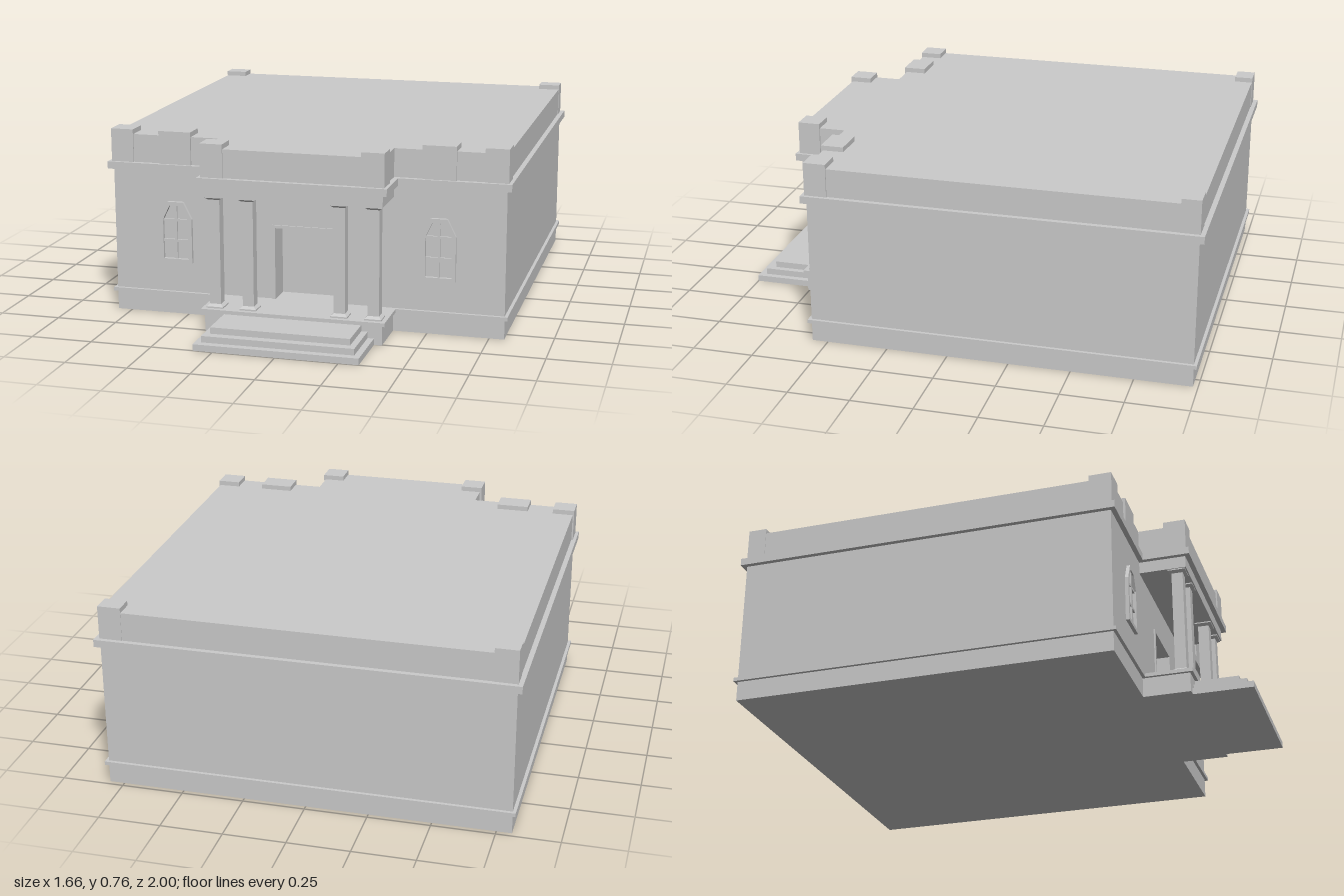
import * as THREE from 'three';

const material = new THREE.MeshStandardMaterial({ color: 0xcccccc, flatShading: true });

function add(parent, name, geometry) {
  const mesh = new THREE.Mesh(geometry, material);
  mesh.name = name;
  parent.add(mesh);
  return mesh;
}

// Box given by its extents
function box(parent, name, x0, x1, y0, y1, z0, z1) {
  const g = new THREE.BoxGeometry(x1 - x0, y1 - y0, z1 - z0);
  g.translate((x0 + x1) / 2, (y0 + y1) / 2, (z0 + z1) / 2);
  return add(parent, name, g);
}

// Horizontal slab from a plan of [x, z] points
function slab(parent, name, plan, y0, y1) {
  const shape = new THREE.Shape(plan.map(([x, z]) => new THREE.Vector2(x, -z)));
  const g = new THREE.ExtrudeGeometry(shape, { depth: y1 - y0, bevelEnabled: false });
  g.rotateX(-Math.PI / 2).translate(0, y0, 0);
  return add(parent, name, g);
}

const W = 0.81, BACK = -0.98, FRONT = 0.565, PW = 0.362, PF = 0.757;

// Hall with projecting porch, grown outward by o
const tPlan = (o) => [
  [-W - o, BACK - o], [W + o, BACK - o], [W + o, FRONT + o], [PW + o, FRONT + o],
  [PW + o, PF + o], [-PW - o, PF + o], [-PW - o, FRONT + o], [-W - o, FRONT + o],
];

// Square tapering block, widths at bottom and top
function taper(parent, name, bottom, top, y0, y1) {
  const g = new THREE.CylinderGeometry(top / Math.SQRT2, bottom / Math.SQRT2, y1 - y0, 4);
  g.rotateY(Math.PI / 4).translate(0, (y0 + y1) / 2, 0);
  return add(parent, name, g);
}

function makeColumn() {
  const column = new THREE.Group();
  column.name = 'column';
  box(column, 'columnPlinth', -0.034, 0.034, 0.095, 0.101, -0.034, 0.034);
  taper(column, 'columnBase', 0.066, 0.046, 0.101, 0.111);
  box(column, 'columnShaft', -0.023, 0.023, 0.111, 0.537, -0.023, 0.023);
  taper(column, 'columnCapital', 0.046, 0.068, 0.537, 0.546);
  box(column, 'columnAbacus', -0.035, 0.035, 0.546, 0.551, -0.035, 0.035);
  return column;
}

// Window outline with clipped top corners, inset by t
const windowPoints = (t) => [
  [-0.069 + t, 0.22 + t], [0.069 - t, 0.22 + t], [0.069 - t, 0.405 - t * 0.3],
  [0.034 - t * 0.6, 0.475 - t], [-0.034 + t * 0.6, 0.475 - t], [-0.069 + t, 0.405 - t * 0.3],
].map(([x, y]) => new THREE.Vector2(x, y));

function makeWindow() {
  const win = new THREE.Group();
  win.name = 'window';
  const frame = new THREE.Shape(windowPoints(0));
  frame.holes.push(new THREE.Path(windowPoints(0.016)));
  add(win, 'windowFrame', new THREE.ExtrudeGeometry(frame, { depth: 0.016, bevelEnabled: false }));
  box(win, 'windowMullion', -0.005, 0.005, 0.23, 0.465, 0, 0.011);
  for (const y of [0.312, 0.398]) box(win, 'windowBar', -0.06, 0.06, y - 0.005, y + 0.005, 0, 0.01);
  return win;
}

export function createModel() {
  const model = new THREE.Group();
  model.name = 'building';

  // Foundation and base moulding
  slab(model, 'foundation', tPlan(0), 0, 0.08);
  slab(model, 'baseMoulding', tPlan(0.013), 0.08, 0.095);

  // Walls, notched for the doorway up to the lintel
  const D = 0.125, H = 0.392, depth = 0.1;
  slab(model, 'lowerWalls', [
    [-W, BACK], [W, BACK], [W, FRONT], [D, FRONT], [D, FRONT - depth],
    [-D, FRONT - depth], [-D, FRONT], [-W, FRONT],
  ], 0.095, H);
  slab(model, 'upperWalls', [[-W, BACK], [W, BACK], [W, FRONT], [-W, FRONT]], H, 0.6);

  // Thin door surround
  for (const s of [-1, 1]) {
    box(model, 'doorJamb', Math.min(s * D, s * 0.137), Math.max(s * D, s * 0.137), 0.095, H, FRONT - 0.01, FRONT + 0.006);
  }
  box(model, 'doorLintel', -0.137, 0.137, H, 0.404, FRONT - 0.01, FRONT + 0.006);

  // Porch beam, cornice and parapet
  box(model, 'porchBeam', -PW, PW, 0.551, 0.6, FRONT, PF);
  slab(model, 'cornice', tPlan(0.02), 0.6, 0.63);
  slab(model, 'parapet', tPlan(0), 0.63, 0.745);

  // Parts mirrored left and right
  for (const s of [-1, 1]) {
    const pier = (name, a, b, z0, z1) =>
      box(model, name, Math.min(s * a, s * b), Math.max(s * a, s * b), 0.63, 0.765, z0, z1);
    pier('frontCornerPier', 0.722, 0.816, 0.48, 0.571);
    pier('windowPier', 0.476, 0.611, 0.48, 0.574);
    pier('porchPier', 0.278, 0.37, 0.672, 0.763);
    pier('backCornerPier', 0.72, 0.812, -0.982, -0.905);

    for (const x of [0.323, 0.186]) {
      const column = makeColumn();
      column.position.set(s * x, 0, 0.717);
      model.add(column);
    }
    const win = makeWindow();
    win.position.set(s * 0.545, 0, FRONT - 0.002);
    model.add(win);
  }

  // Entrance steps
  [[0.33, 1.0], [0.305, 0.97], [0.28, 0.935]].forEach(([x, z], i) =>
    box(model, 'step', -x, x, i * 0.026, (i + 1) * 0.026, PF - 0.01, z));

  return model;
}
